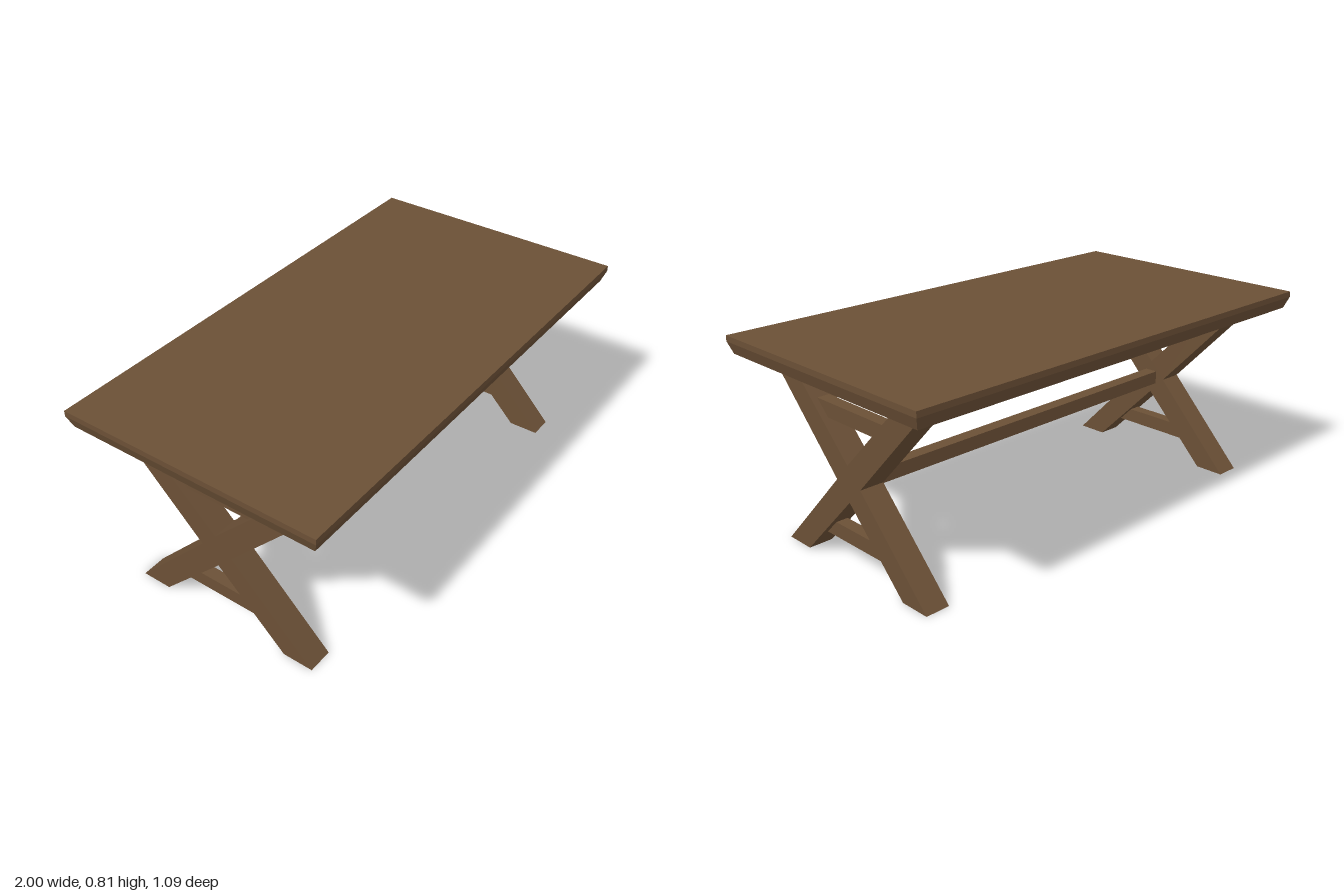
import * as THREE from 'three';

export function createModel() {
  const wood = new THREE.MeshStandardMaterial({ color: 0x6b5036 });
  wood.name = 'brown wood';
  const metal = new THREE.MeshStandardMaterial({ color: 0x2a2226 });
  metal.name = 'dark metal';

  const table = new THREE.Group();
  table.name = 'trestleTable';

  function add(parent, name, geometry, material, x = 0, y = 0, z = 0) {
    const mesh = new THREE.Mesh(geometry, material);
    mesh.name = name;
    mesh.position.set(x, y, z);
    parent.add(mesh);
    return mesh;
  }

  // Box from y0 to y1 whose lower edge, below yBreak, is drawn in by dx and dz
  function undercutBox(w, d, y0, y1, yBreak, dx, dz) {
    const g = new THREE.BoxGeometry(w, y1 - y0, d, 1, 2, 1).toNonIndexed();
    const p = g.attributes.position;
    for (let i = 0; i < p.count; i++) {
      const y = p.getY(i);
      if (y < -0.001) {
        p.setXYZ(i, p.getX(i) - Math.sign(p.getX(i)) * dx, y0, p.getZ(i) - Math.sign(p.getZ(i)) * dz);
      } else {
        p.setY(i, y > 0.001 ? y1 : yBreak);
      }
    }
    g.computeVertexNormals();
    return g;
  }

  // Table top with a bevelled underside edge
  add(table, 'tableTop', undercutBox(2, 1.09, 0.74, 0.81, 0.787, 0.016, 0.018), wood);

  // One crossed pair of legs, drawn as a single X outline in (z, y)
  const outline = [
    [0.41, 0], [0.068, 0.355], [0.41, 0.71], [0.283, 0.71], [0, 0.428], [-0.283, 0.71],
    [-0.41, 0.71], [-0.068, 0.355], [-0.41, 0], [-0.283, 0], [0, 0.285], [0.283, 0],
  ];
  const legShape = new THREE.Shape(outline.map(([z, y]) => new THREE.Vector2(z, y)));
  const legWidth = 0.1;
  const legGeometry = new THREE.ExtrudeGeometry(legShape, { depth: legWidth, bevelEnabled: false });
  legGeometry.translate(0, 0, -legWidth / 2).rotateY(Math.PI / 2);

  for (const side of [1, -1]) {
    const trestle = new THREE.Group();
    trestle.name = side > 0 ? 'leftTrestle' : 'rightTrestle';
    trestle.position.x = side * 0.833;
    table.add(trestle);
    add(trestle, 'crossedLegs', legGeometry, wood);
    add(trestle, 'topCleat', new THREE.BoxGeometry(0.136, 0.03, 0.845), wood, 0, 0.725);
    add(trestle, 'upperRail', new THREE.BoxGeometry(0.05, 0.06, 0.4), wood, 0, 0.594);
    add(trestle, 'lowerRail', new THREE.BoxGeometry(0.05, 0.06, 0.4), wood, 0, 0.124);
  }

  // Long stretcher joining the two trestles
  add(table, 'stretcher', new THREE.BoxGeometry(1.58, 0.056, 0.056), wood, 0, 0.357);

  // Metal stiffening bars under the top
  for (const x of [-0.444, 0.428]) {
    add(table, 'stiffeningBar', undercutBox(0.025, 0.92, 0.714, 0.74, 0.735, 0, 0.014), metal, x);
  }

  return table;
}
